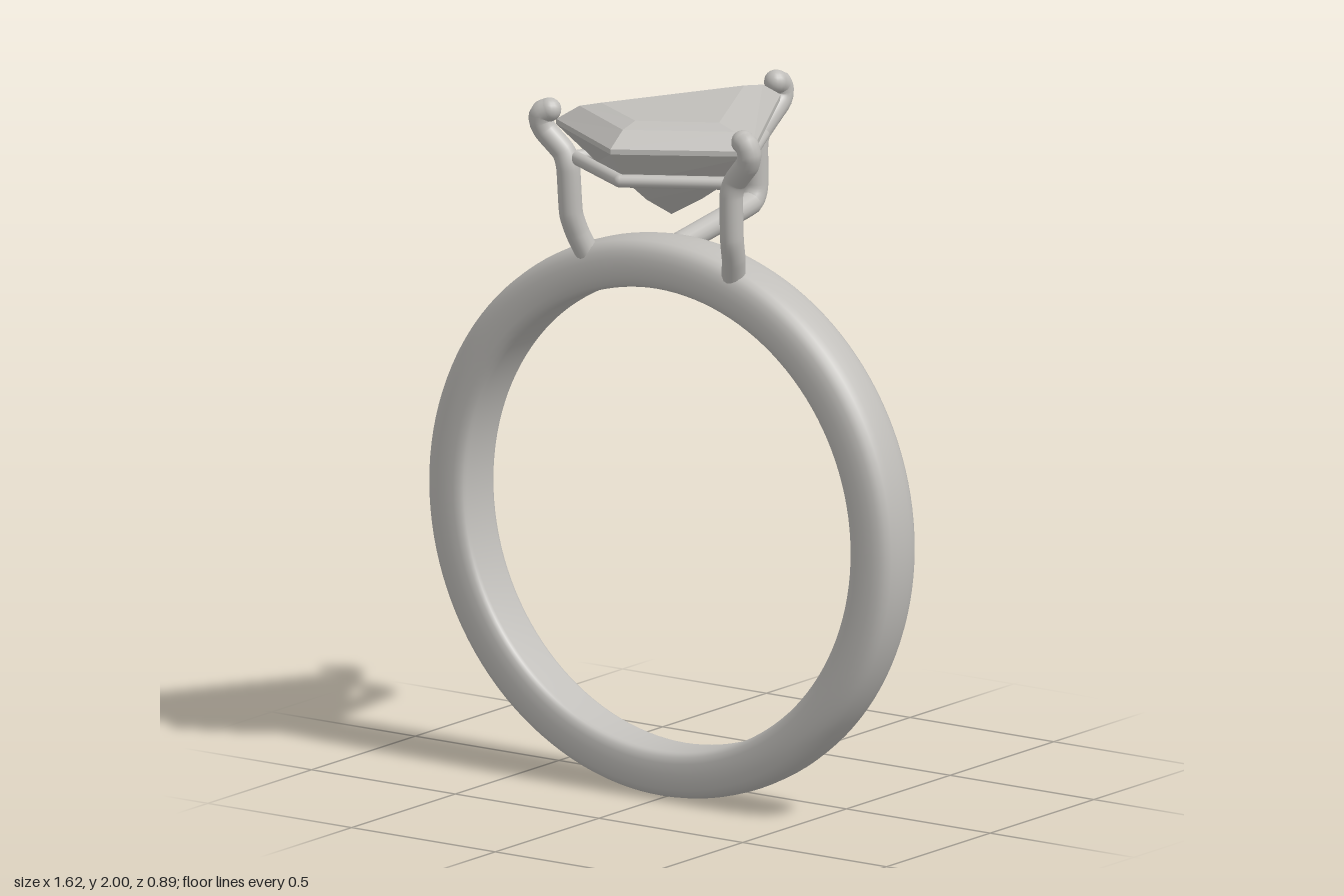
import * as THREE from 'three';

const silver = new THREE.MeshStandardMaterial({ color: 0xc0beba });
silver.name = 'silver grey';

function addMesh(parent, name, geometry) {
  const mesh = new THREE.Mesh(geometry, silver);
  mesh.name = name;
  parent.add(mesh);
  return mesh;
}

// Round wire along a smooth path, with ball ends
function addWire(parent, name, points, radius) {
  const wire = new THREE.Group();
  wire.name = name;
  const path = points.map(p => new THREE.Vector3(...p));
  const curve = new THREE.CatmullRomCurve3(path, false, 'catmullrom', 0.3);
  addMesh(wire, name + 'Tube', new THREE.TubeGeometry(curve, 60, radius, 16));
  for (const end of [path[0], path[path.length - 1]]) {
    addMesh(wire, name + 'End', new THREE.SphereGeometry(radius, 16, 12)).position.copy(end);
  }
  parent.add(wire);
}

// Band: domed cross-section, a little wider towards the top
function bandGeometry() {
  const half = [[0.67, 0], [0.67, -0.7], [0.673, -0.82], [0.682, -0.93], [0.7, -0.99], [0.73, -1],
    [0.755, -0.98], [0.777, -0.92], [0.794, -0.8], [0.803, -0.62], [0.808, -0.35], [0.81, 0]];
  const other = half.slice(0, -1).reverse().map(([r, z]) => [r, -z]);
  const profile = [...half, ...other].map(([r, z]) => new THREE.Vector2(r, z * 0.09));
  const geometry = new THREE.LatheGeometry(profile, 128);
  geometry.rotateX(Math.PI / 2);
  const pos = geometry.attributes.position;
  for (let i = 0; i < pos.count; i++) {
    pos.setZ(i, pos.getZ(i) * (0.97 + 0.07 * pos.getY(i) / 0.81));
  }
  return geometry.translate(0, 0.81, 0.148);
}

// Kite-shaped faceted stone, lofted through [y, frontZ, sideX, sideZ, backZ]
function stoneGeometry() {
  const layers = [
    [1.685, 0.15, 0, 0.15, 0.15],
    [1.75, 0.27, 0.12, 0.17, -0.06],
    [1.815, 0.36, 0.225, 0.2, -0.22],
    [1.915, 0.445, 0.34, 0.235, -0.375],
    [1.93, 0.445, 0.34, 0.235, -0.375],
    [1.975, 0.385, 0.27, 0.22, -0.29],
    [1.99, 0.325, 0.205, 0.205, -0.2],
  ].map(([y, f, x, s, b]) => [[0, y, f], [x, y, s], [0, y, b], [-x, y, s]]);
  const out = [];
  const tri = (a, b, c) => out.push(...a, ...b, ...c);
  for (let i = 0; i < layers.length - 1; i++) {
    const lo = layers[i], hi = layers[i + 1];
    for (let j = 0; j < 4; j++) {
      const k = (j + 1) % 4;
      if (i > 0) tri(lo[j], lo[k], hi[k]);
      tri(lo[j], hi[k], hi[j]);
    }
  }
  const top = layers[layers.length - 1];
  tri(top[0], top[1], top[2]);
  tri(top[0], top[2], top[3]);
  const geometry = new THREE.BufferGeometry();
  geometry.setAttribute('position', new THREE.Float32BufferAttribute(out, 3));
  geometry.computeVertexNormals();
  return geometry;
}

export function createModel() {
  const ring = new THREE.Group();
  ring.name = 'ring';

  addMesh(ring, 'band', bandGeometry());
  addMesh(ring, 'stone', stoneGeometry());

  // Thin rail below the stone
  const corners = [[0, 1.83, 0.4], [0.275, 1.83, 0.24], [0, 1.83, -0.29], [-0.275, 1.83, 0.24]];
  corners.forEach((c, i) => addWire(ring, 'rail', [c, corners[(i + 1) % 4]], 0.019));

  // Side prongs
  for (const s of [-1, 1]) {
    addWire(ring, s > 0 ? 'leftProng' : 'rightProng', [
      [0.255 * s, 1.55, 0.205], [0.272 * s, 1.61, 0.228], [0.28 * s, 1.67, 0.247],
      [0.284 * s, 1.8, 0.255], [0.3 * s, 1.845, 0.255], [0.35 * s, 1.9, 0.27],
      [0.363 * s, 1.93, 0.278], [0.358 * s, 1.955, 0.28], [0.337 * s, 1.965, 0.272],
    ], 0.034);
  }

  // Back prong, reaching out from the band
  addWire(ring, 'backProng', [
    [-0.018, 1.585, 0.08], [-0.018, 1.632, -0.235], [-0.018, 1.645, -0.268], [-0.018, 1.68, -0.284],
    [-0.018, 1.8, -0.284], [-0.018, 1.838, -0.3], [-0.018, 1.905, -0.395],
    [-0.018, 1.93, -0.408], [-0.018, 1.955, -0.4], [-0.016, 1.965, -0.375],
  ], 0.034);

  return ring;
}
